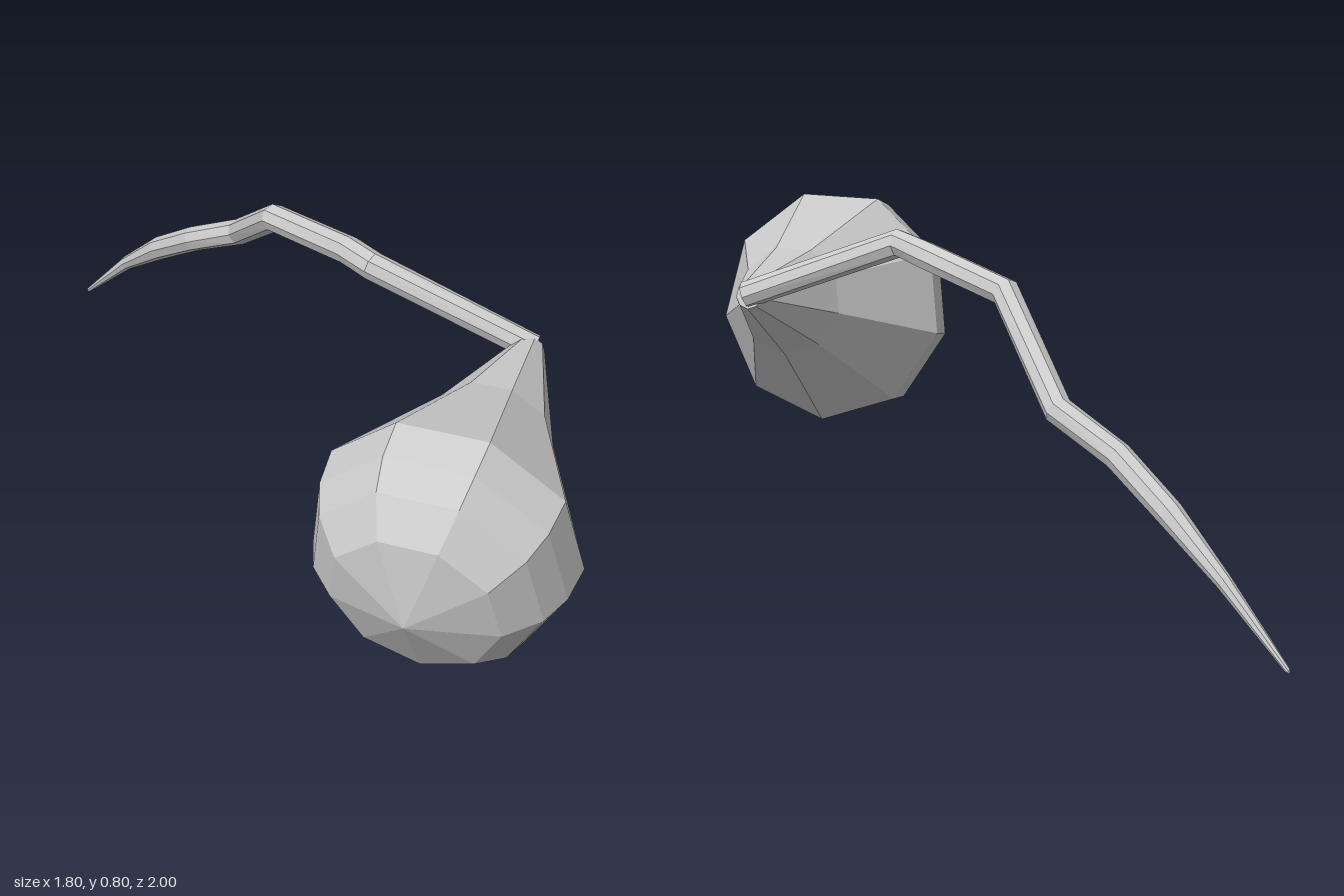
import * as THREE from 'three';

const V = (p) => new THREE.Vector3(...p);

// Skins rings [centre, radius] into a closed tube; each ring faces along the path
// and has one corner pointing down. 'pole' is the apex that closes the last ring.
function loft(name, rings, sides, pole) {
  const centres = rings.map(([c]) => V(c));
  const pos = [], index = [];
  rings.forEach(([, r], i) => {
    const c = centres[i];
    const dir = new THREE.Vector3();
    if (i > 0) dir.add(c.clone().sub(centres[i - 1]).normalize());
    if (i < rings.length - 1) dir.add(centres[i + 1].clone().sub(c).normalize());
    dir.normalize();
    const down = new THREE.Vector3(0, -1, 0).addScaledVector(dir, dir.y).normalize();
    const side = dir.clone().cross(down);
    for (let k = 0; k < sides; k++) {
      const a = (k / sides) * Math.PI * 2;
      const p = c.clone().addScaledVector(down, r * Math.cos(a)).addScaledVector(side, r * Math.sin(a));
      pos.push(p.x, p.y, p.z);
    }
  });
  const last = (rings.length - 1) * sides;
  const start = rings.length * sides, end = start + 1;
  pos.push(...rings[0][0], ...pole);
  for (let k = 0; k < sides; k++) {
    const n = (k + 1) % sides;
    for (let o = 0; o < last; o += sides) {
      index.push(o + k, o + n, o + sides + n, o + k, o + sides + n, o + sides + k);
    }
    index.push(start, n, k, end, last + k, last + n);
  }
  const geo = new THREE.BufferGeometry();
  geo.setAttribute('position', new THREE.Float32BufferAttribute(pos, 3));
  geo.setIndex(index);
  geo.computeVertexNormals();
  const mesh = new THREE.Mesh(geo, new THREE.MeshStandardMaterial({ color: 0xcccccc, flatShading: true }));
  mesh.name = name;
  return mesh;
}

export function createModel() {
  const group = new THREE.Group();
  group.name = 'bulbWithStem';

  // Nine-sided pear-shaped bulb along a tilted axis: [distance, radius]
  const neck = V([0.66, 0.6, 0.06]), pole = V([0.51, 0.335, 1.0]);
  const length = neck.distanceTo(pole);
  const profile = [[0, 0.038], [0.3, 0.157], [0.64, 0.346], [0.745, 0.336], [0.83, 0.302], [0.915, 0.223]];
  const bulbRings = profile.map(([t, r]) => [neck.clone().lerp(pole, t / length).toArray(), r]);
  group.add(loft('bulb', bulbRings, 9, pole.toArray()));

  // Crooked stem tapering to a thin tail
  const stem = [
    [[0.67, 0.6, 0.065], 0.037],
    [[0.23, 0.77, 0.03], 0.039],
    [[0.145, 0.762, -0.058], 0.039],
    [[-0.11, 0.72, -0.275], 0.039],
    [[-0.29, 0.5, -0.58], 0.038],
    [[-0.45, 0.415, -0.665], 0.037],
    [[-0.59, 0.31, -0.775], 0.035],
    [[-0.73, 0.185, -0.885], 0.021],
    [[-0.894, 0.01, -0.994], 0.007],
  ];
  group.add(loft('stem', stem, 8, [-0.9, 0.004, -1.0]));
  return group;
}
